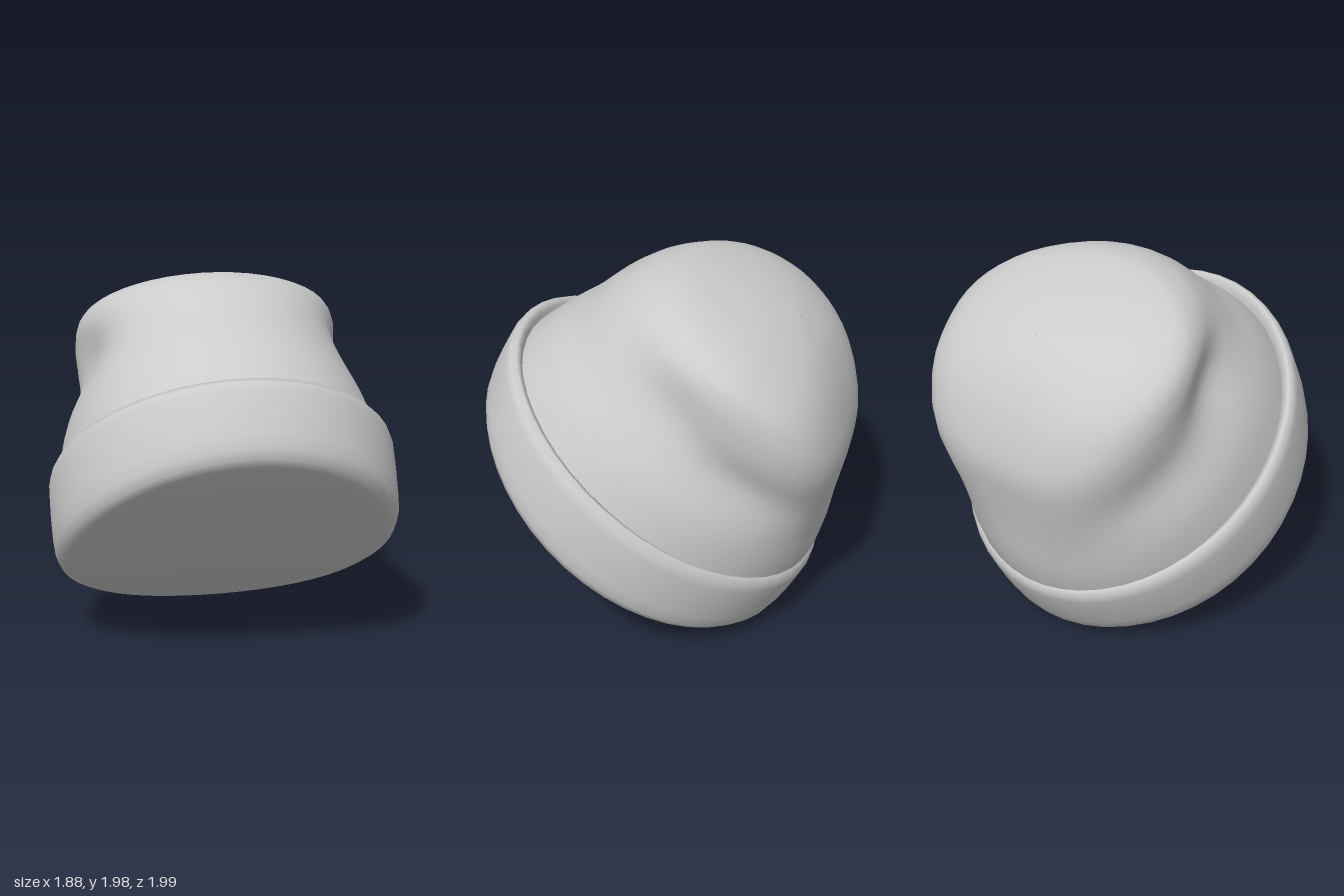
import * as THREE from 'three';

const SEGMENTS = 48;
const material = new THREE.MeshStandardMaterial({ color: 0xcccccc });

// Skin a stack of closed rings; pointAt(ring, angle) returns [x, y, z]
function loft(name, ringCount, pointAt) {
  const positions = [], index = [];
  for (let i = 0; i < ringCount; i++) {
    for (let j = 0; j < SEGMENTS; j++) {
      positions.push(...pointAt(i, (j / SEGMENTS) * Math.PI * 2));
      if (i === ringCount - 1) continue;
      const k = (j + 1) % SEGMENTS;
      const a = i * SEGMENTS + j, b = i * SEGMENTS + k;
      index.push(a, b, a + SEGMENTS, b, b + SEGMENTS, a + SEGMENTS);
    }
  }
  const geometry = new THREE.BufferGeometry();
  geometry.setAttribute('position', new THREE.Float32BufferAttribute(positions, 3));
  geometry.setIndex(index);
  geometry.computeVertexNormals();
  const mesh = new THREE.Mesh(geometry, material);
  mesh.name = name;
  return mesh;
}

const bump = (value, centre, width) => Math.exp(-(((value - centre) / width) ** 2));

// Folded brim with a closed, slightly sagging underside: [radius factor, height]
function createBrim() {
  const profile = [
    [0.001, 0], [0.3, 0], [0.6, 0], [0.85, 0], [0.92, 0.002], [0.96, 0.018], [0.985, 0.06],
    [0.995, 0.13], [1, 0.24], [1, 0.35], [0.99, 0.39], [0.965, 0.42], [0.93, 0.41], [0.89, 0.34],
  ];
  return loft('brim', profile.length, (i, angle) => {
    const [r, h] = profile[i];
    const x = Math.sin(angle) * r, z = Math.cos(angle) * r;
    const sag = 0.085 * (1 - z * z) * (1 - (0.75 * h) / 0.42);
    return [x * 0.94, h - sag, z * 1.04 + 0.01 + 0.14 * h];
  });
}

// Soft crown: [height, front z, back z, half width]
function createCrown() {
  const sections = [
    [0.3, 1.03, -0.96, 0.89],
    [0.45, 1.0, -0.93, 0.87],
    [0.6, 0.955, -0.88, 0.84],
    [0.77, 0.895, -0.8, 0.79],
    [0.95, 0.85, -0.72, 0.75],
    [1.1, 0.79, -0.65, 0.745],
    [1.2, 0.72, -0.57, 0.74],
    [1.3, 0.605, -0.45, 0.7],
    [1.38, 0.41, -0.32, 0.56],
    [1.44, 0.2, -0.17, 0.3],
    [1.463, 0.002, -0.002, 0.002],
  ];
  const steps = 3, rings = (sections.length - 1) * steps + 1;
  const columns = [0, 1, 2, 3].map(
    (c) => new THREE.SplineCurve(sections.map((s, i) => new THREE.Vector2(i, s[c]))),
  );

  return loft('crown', rings, (i, angle) => {
    const [h, front, back, width] = columns.map((c) => c.getPoint(i / (rings - 1)).y);
    const s = Math.sin(angle), c = Math.cos(angle);
    // Rear corners turn boxy higher up, more so on the left
    const boxy = THREE.MathUtils.smoothstep(h, 0.6, 1.0) * Math.max(0, -c) * (0.8 + 0.5 * s);
    const power = 2 + boxy;
    const r = (Math.abs(s) ** power + Math.abs(c) ** power) ** (-1 / power);
    const centre = (front + back) / 2, depth = (front - back) / 2;
    // Slumped folds: a dent in each flank and a pinch below the rear bulge
    const side = Math.abs(Math.atan2(s, c));
    const dent = (s > 0 ? 0.06 : 0.09) * bump(side, 1.3, 0.3) * bump(h, 0.97, 0.16);
    const pinch = (s > 0 ? 0.09 : 0.04) * bump(side, 2.0, 0.5) * bump(h, 0.85, 0.13);
    const k = r * (1 - dent - pinch);
    return [s * width * k, h, centre + c * depth * k];
  });
}

export function createModel() {
  const model = new THREE.Group();
  model.name = 'knittedHat';
  // Whole hat leans back, front of the brim raised
  const hat = new THREE.Group();
  hat.name = 'tiltedHat';
  hat.rotation.x = -0.631;
  hat.position.set(0, 0.585, 0.18);
  hat.add(createBrim(), createCrown());
  model.add(hat);
  return model;
}
